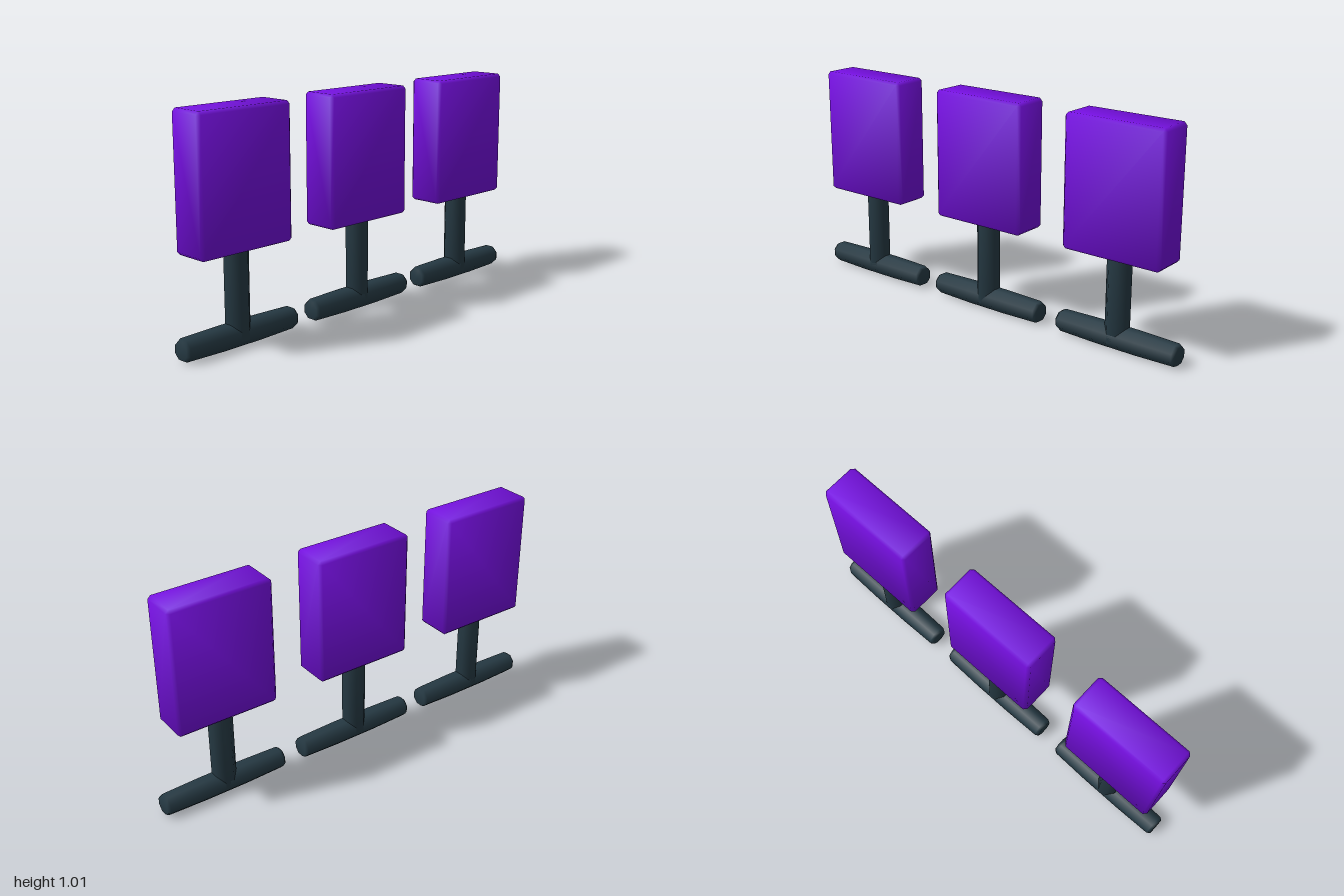
import * as THREE from 'three';
import { ConvexGeometry } from 'three/addons/geometries/ConvexGeometry.js';

const SPACING = 0.7025;
const APOTHEM = Math.cos(Math.PI / 8);

// Box with one chamfer on every edge and normals blended across the chamfers
function chamferBox(w, h, d, c) {
  const half = [w / 2, h / 2, d / 2];
  const points = [];
  for (const sx of [-1, 1]) for (const sy of [-1, 1]) for (const sz of [-1, 1]) {
    const s = [sx, sy, sz];
    for (let axis = 0; axis < 3; axis++) {
      points.push(new THREE.Vector3(...half.map((v, i) => s[i] * (i === axis ? v : v - c))));
    }
  }
  const geometry = new ConvexGeometry(points);
  const pos = geometry.attributes.position;
  const n = new THREE.Vector3();
  for (let i = 0; i < pos.count; i++) {
    const p = [pos.getX(i), pos.getY(i), pos.getZ(i)];
    n.set(...p.map((v, k) => Math.sign(v) * (Math.abs(v) > half[k] - c / 2 ? 2.99 : 1.28))).normalize();
    geometry.attributes.normal.setXYZ(i, n.x, n.y, n.z);
  }
  return geometry;
}

// Eight-sided turned rod with flats facing the axes; profile is [flat radius, height]
function octagonRod(profile) {
  const pts = profile.map(([r, y]) => new THREE.Vector2(r / APOTHEM, y));
  return new THREE.LatheGeometry(pts, 8, Math.PI / 8);
}

export function createModel() {
  const model = new THREE.Group();
  model.name = 'standingTargets';
  const purple = new THREE.MeshStandardMaterial({ color: 0x750fe0 });
  const dark = new THREE.MeshStandardMaterial({ color: 0x263a44 });

  const panelGeometry = chamferBox(0.475, 0.589, 0.176, 0.014);
  const postGeometry = octagonRod([[0, 0.03], [0.05, 0.03], [0.05, 0.409], [0.046, 0.414], [0, 0.414]]);
  // Foot bar swells slightly in the middle and has chamfered ends
  const footGeometry = octagonRod([
    [0, -0.2975], [0.038, -0.2975], [0.046, -0.283], [0.05, -0.1],
    [0.05, 0.1], [0.046, 0.283], [0.038, 0.2975], [0, 0.2975],
  ]).rotateZ(Math.PI / 2);

  for (const i of [-1, 0, 1]) {
    const target = new THREE.Group();
    target.name = ['rightTarget', 'middleTarget', 'leftTarget'][i + 1];
    target.position.x = i * SPACING;
    const add = (name, geometry, material, x, y) => {
      const mesh = new THREE.Mesh(geometry, material);
      mesh.name = name;
      mesh.position.set(x, y, 0);
      target.add(mesh);
    };
    add('panel', panelGeometry, purple, -0.005, 0.7125);
    add('post', postGeometry, dark, -0.005, 0);
    add('footBar', footGeometry, dark, 0, 0.0505);
    model.add(target);
  }
  return model;
}
